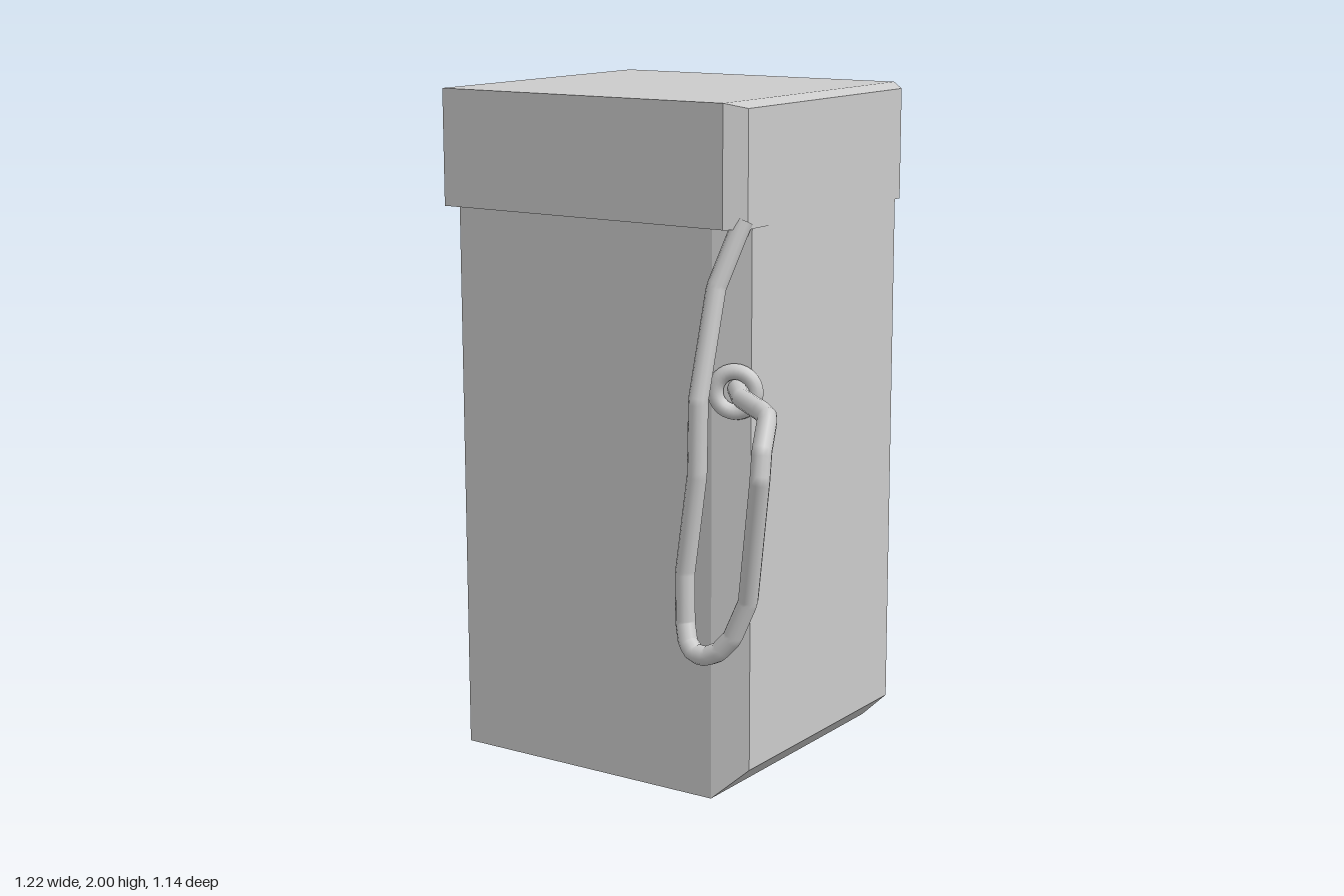
import * as THREE from 'three';
import { ConvexGeometry } from 'three/addons/geometries/ConvexGeometry.js';

const grey = new THREE.MeshStandardMaterial({ color: 0xcccccc });
const flatGrey = new THREE.MeshStandardMaterial({ color: 0xcccccc, flatShading: true });

function add(group, name, geometry, material) {
  const mesh = new THREE.Mesh(geometry, material);
  mesh.name = name;
  group.add(mesh);
  return mesh;
}

// Box whose +x side is chamfered at both corners and sloped at one end.
// xb: where the chamfer starts, c: chamfer depth in z,
// yPlain: the square-cut end, yBevel: the sloped end, ySide: where the slope meets the side
function chamferedBlock({ x0, xb, x1, z0, z1, c, yPlain, yBevel, ySide }) {
  const points = [];
  for (const y of [yPlain, yBevel]) {
    for (const z of [z0, z1]) {
      points.push(new THREE.Vector3(x0, y, z), new THREE.Vector3(xb, y, z));
    }
  }
  for (const y of [yPlain, ySide]) {
    points.push(new THREE.Vector3(x1, y, z0 + c), new THREE.Vector3(x1, y, z1 - c));
  }
  return new ConvexGeometry(points);
}

export function createModel() {
  const model = new THREE.Group();
  model.name = 'boxWithHose';

  // Body and overhanging cap
  add(model, 'body', chamferedBlock({
    x0: -0.585, xb: 0.3, x1: 0.405, z0: -0.537, z1: 0.345, c: 0.04,
    yPlain: 1.66, yBevel: 0, ySide: 0.095,
  }), flatGrey);
  add(model, 'cap', chamferedBlock({
    x0: -0.615, xb: 0.355, x1: 0.407, z0: -0.57, z1: 0.377, c: 0.047,
    yPlain: 1.657, yBevel: 2, ySide: 1.985,
  }), flatGrey);

  // Hose hanging from under the cap, looping back up to the socket
  const route = [
    [0.385, 1.68, 0.32], [0.34, 1.5, 0.385], [0.335, 1.2, 0.465], [0.333, 0.99, 0.468],
    [0.29, 0.7, 0.464], [0.294, 0.56, 0.468], [0.312, 0.51, 0.482], [0.345, 0.487, 0.497],
    [0.385, 0.487, 0.502], [0.425, 0.506, 0.5], [0.465, 0.55, 0.493], [0.512, 0.66, 0.486],
    [0.583, 1.02, 0.543], [0.578, 1.1, 0.525], [0.558, 1.178, 0.465], [0.52, 1.185, 0.435],
    [0.42, 1.2, 0.38], [0.365, 1.21, 0.315],
  ].map((p) => new THREE.Vector3(...p));
  const path = new THREE.CurvePath();
  for (let i = 1; i < route.length; i++) {
    path.add(new THREE.LineCurve3(route[i - 1], route[i]));
  }
  add(model, 'hose', new THREE.TubeGeometry(path, 160, 0.028, 12), grey);

  // Socket ring lying against the front corner chamfer
  const ring = add(model, 'socketRing', new THREE.TorusGeometry(0.057, 0.023, 12, 28), grey);
  ring.position.set(0.367, 1.203, 0.328);
  ring.rotation.y = Math.atan2(0.04, 0.105);

  return model;
}
